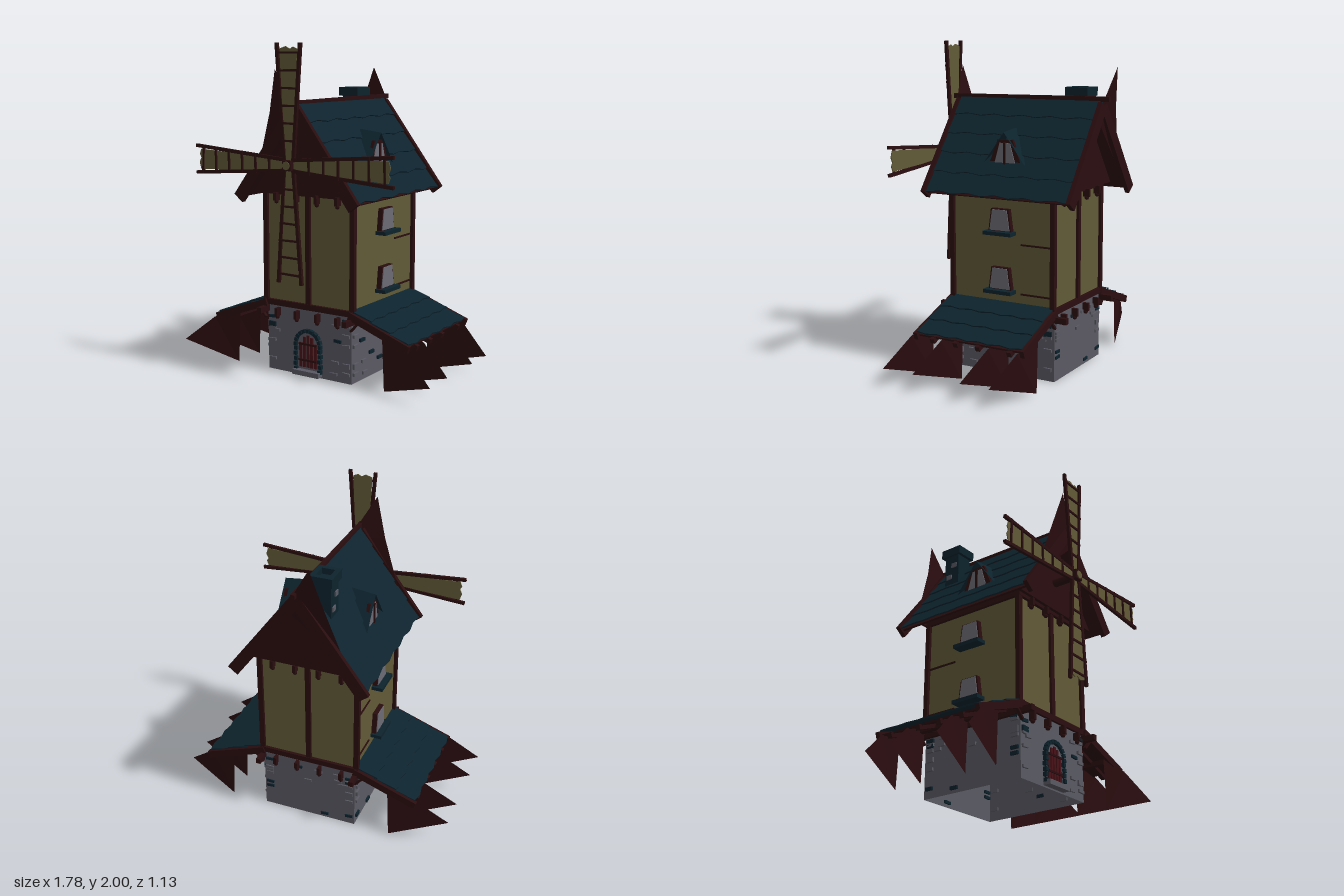
import * as THREE from 'three';

const mat = (name, color, side = THREE.FrontSide) => {
  const m = new THREE.MeshStandardMaterial({ color, side });
  m.name = name;
  return m;
};

export function createModel() {
  const D = THREE.DoubleSide;
  const wood = mat('dark wood', 0x2a0d0f, D), tile = mat('blue slate', 0x0d232d, D);
  const plaster = mat('plaster', 0x625a37, D), stone = mat('grey stone', 0x5a5963, D);
  const glass = mat('window glass', 0x6c6b74, D), red = mat('red door wood', 0x481217);
  const root = new THREE.Group();

  const add = (name, geo, m, parent = root) => {
    const mesh = new THREE.Mesh(geo, m);
    mesh.name = name;
    parent.add(mesh);
    return mesh;
  };
  const box = (name, m, w, h, d, x, y, z, rz = 0, parent = root) => {
    const b = add(name, new THREE.BoxGeometry(w, h, d), m, parent);
    b.position.set(x, y, z);
    b.rotation.z = rz;
    return b;
  };
  // board between two points of an xy plane
  const beam = (name, m, x1, y1, x2, y2, width, depth, z, parent = root) =>
    box(name, m, Math.hypot(x2 - x1, y2 - y1), width, depth, (x1 + x2) / 2, (y1 + y2) / 2, z,
      Math.atan2(y2 - y1, x2 - x1), parent);
  const poly = (pts) => new THREE.Shape(pts.map(([x, y]) => new THREE.Vector2(x, y)));
  const plate = (pts, depth) => new THREE.ExtrudeGeometry(poly(pts), { depth, bevelEnabled: false });
  const facets = (name, m, ...tris) => {
    const g = new THREE.BufferGeometry();
    g.setAttribute('position', new THREE.Float32BufferAttribute(tris.flat(2), 3));
    g.computeVertexNormals();
    return add(name, g, m);
  };
  let seed = 7;
  const rnd = () => (seed = (seed * 16807) % 2147483647) / 2147483647;

  // overlapping slate rows with wavy lower edges, on a slope from (x1,y1) to (x2,y2)
  const slates = (name, s, x1, y1, x2, y2, z0, z1, rows) => {
    const len = Math.hypot(x2 - x1, y2 - y1), w = z1 - z0, step = len / rows;
    const dx = s * (x2 - x1) / len, dy = (y2 - y1) / len;
    const slope = new THREE.Group();
    slope.name = name;
    const basis = new THREE.Matrix4().makeBasis(new THREE.Vector3(0, 0, s),
      new THREE.Vector3(dx, dy, 0), new THREE.Vector3(-s * dy, s * dx, 0));
    slope.quaternion.setFromRotationMatrix(basis);
    slope.position.set(s * x1, y1, (z0 + z1) / 2);
    for (let r = 0; r < rows; r++) {
      const pts = [[w / 2, -0.01], [-w / 2, -0.01]], n = 20;
      for (let i = 0; i <= n; i++) {
        const wave = 0.007 * Math.cos((i + r) * Math.PI / 2);
        pts.push([-w / 2 + w * i / n, step + wave]);
      }
      const row = add('slateRow', plate(pts.reverse(), 0.008), tile, slope);
      row.position.y = r * step;
      row.rotation.x = 0.07;
    }
    root.add(slope);
  };

  // stone ground floor, open underneath
  const base = new THREE.BoxGeometry(0.61, 0.43, 0.7);
  base.setIndex([...base.index.array].filter((_, i) => i < 18 || i >= 24));
  add('stoneBase', base, stone).position.set(0, 0.215, -0.012);
  // scattered stones on the base
  for (const s of [-1, 1]) for (let i = 0; i < 22; i++) {
    const m = i % 3 === 0 ? tile : stone, y = 0.03 + 0.35 * rnd(), edge = rnd() < 0.6;
    const t = edge ? (rnd() < 0.5 ? -0.27 : 0.27) : 0.5 * (rnd() - 0.5);
    box('sideStone', m, 0.02, 0.02, 0.05, s * 0.308, y, t * 1.15 - 0.01);
    if (s < 0 || Math.abs(t) > 0.15) box('faceStone', m, 0.05, 0.018, 0.02, t, y, -0.01 + s * 0.35, 0.2 * (rnd() - 0.5));
  }

  // arched door with stone surround
  const arch = (hw, spring) => {
    const p = [[-hw, 0.02], [hw, 0.02]];
    for (let i = 0; i <= 10; i++) p.push([hw * Math.cos(i * Math.PI / 10), spring + hw * Math.sin(i * Math.PI / 10)]);
    return p;
  };
  add('doorRecess', plate(arch(0.08, 0.19), 0.008), stone).position.z = 0.338;
  for (let i = -2; i <= 2; i++) box('doorPlank', red, 0.019, 0.2 - 0.012 * i * i, 0.012, i * 0.027, 0.155 - 0.006 * i * i, 0.347);
  for (const y of [0.1, 0.2]) box('doorHinge', wood, 0.13, 0.012, 0.008, 0, y, 0.355);
  for (let i = 0; i <= 10; i++) {
    const a = i * Math.PI / 10;
    box('archStone', tile, 0.022, 0.023, 0.03, 0.088 * Math.cos(a), 0.195 + 0.088 * Math.sin(a), 0.347, a);
  }
  for (const s of [-1, 1]) for (let i = 0; i < 5; i++)
    box('jambStone', tile, 0.022, 0.024, 0.03, s * (0.086 + 0.004 * (i % 2)), 0.04 + i * 0.032, 0.347);
  box('doorStep', stone, 0.19, 0.03, 0.05, 0, 0.025, 0.36);

  // plaster upper storeys and timber frame
  box('plasterWalls', plaster, 0.62, 0.7, 0.69, 0, 0.78, -0.01);
  for (const z of [0.337, -0.357]) {
    for (const x of [-0.313, 0, 0.313]) box('post', wood, 0.032, 0.7, 0.03, x, 0.78, z);
    for (const y of [0.43, 1.12]) box('crossBeam', wood, 0.65, 0.035, 0.035, 0, y, z);
  }
  for (const s of [-1, 1]) {
    for (const y of [0.43, 1.12]) box('sideBeam', wood, 0.035, 0.035, 0.7, s * 0.31, y, -0.01);
    box('jettyBeam', wood, 0.03, 0.035, 0.88, s * 0.31, 0.385, -0.01);
    for (const y of [0.51, 0.81]) box('sideBatten', wood, 0.012, 0.01, 0.22, s * 0.311, y, -0.25);
    // side windows
    for (const y of [0.53, 0.885]) {
      const trap = (g) => [[-0.068 - g, 0], [0.068 + g, 0], [0.05 + g, 0.125 + g], [-0.05 - g, 0.125 + g]];
      const frame = add('windowFrame', plate(trap(0.01), 0.03), wood);
      const pane = add('windowPane', plate(trap(0), 0.008), glass);
      for (const m of [frame, pane]) m.rotation.y = s * Math.PI / 2;
      frame.position.set(s * 0.31, y, -0.01);
      pane.position.set(s * 0.337, y + 0.005, -0.01);
      box('windowSill', tile, 0.07, 0.022, 0.19, s * 0.345, y - 0.01, -0.01);
    }
  }
  // small corbels under both overhangs
  for (const z of [0.36, -0.38]) for (const y of [1.09, 0.375]) for (const x of [-0.22, -0.075, 0.075, 0.22]) {
    box('corbel', wood, 0.02, 0.05, 0.04, x, y, z);
    add('corbelDrop', new THREE.SphereGeometry(0.015, 6, 4), wood).position.set(x, y - 0.03, z);
  }

  // gables, main roof and ridge
  const gable = [[-0.38, 1.12], [0.38, 1.12], [0, 1.63]];
  for (const [z, edge, dir] of [[0.36, 0.475, 1], [-0.4, -0.512, -1]]) {
    add('gable', plate(gable, 0.02), wood).position.z = z;
    for (const s of [-1, 1]) beam('bargeboard', wood, 0, 1.625, s * 0.41, 1.08, 0.075, 0.028, edge);
    // crooked spike leaning out at the peak
    const tip = [-0.1, 1.85, edge + dir * 0.05];
    facets('gableSpike', wood, [[0.07, 1.56, edge], tip, [-0.17, 1.6, edge + dir * 0.01]],
      [[0.07, 1.56, edge], [-0.17, 1.6, edge + dir * 0.01], [-0.3, 1.22, edge - dir * 0.03]]);
  }
  for (const s of [-1, 1]) {
    beam('roofBoards', wood, 0, 1.63, s * 0.4, 1.09, 0.012, 0.97, -0.018);
    slates('mainRoof', s, 0, 1.655, 0.405, 1.095, -0.505, 0.465, 5);
  }
  box('ridgeBeam', wood, 0.025, 0.03, 1.08, 0, 1.66, -0.02).rotation.x = 0.008;

  // dormers
  for (const s of [-1, 1]) {
    const top = [s * 0.29, 1.47, -0.01], back = [s * 0.12, 1.49, -0.01];
    for (const k of [-1, 1]) {
      facets('dormerRoof', tile, [top, back, [s * 0.29, 1.28, -0.01 + k * 0.14]],
        [back, [s * 0.25, 1.3, -0.01 + k * 0.15], [s * 0.29, 1.28, -0.01 + k * 0.14]]);
    }
    const face = add('dormerFrame', plate([[-0.11, 0], [0.11, 0], [0.05, 0.15], [-0.05, 0.15]], 0.02), wood);
    const pane = add('dormerPane', plate([[-0.07, 0], [0.07, 0], [0.035, 0.12], [-0.035, 0.12]], 0.008), glass);
    for (const m of [face, pane]) m.rotation.y = s * Math.PI / 2;
    face.position.set(s * 0.255, 1.275, -0.01);
    pane.position.set(s * 0.272, 1.285, -0.01);
    box('dormerBar', wood, 0.012, 0.13, 0.014, s * 0.282, 1.345, -0.01);
  }

  // chimney
  box('chimneyStack', tile, 0.11, 0.24, 0.11, -0.1, 1.57, -0.325);
  for (const k of [-1, 1]) {
    box('chimneyCap', tile, 0.14, 0.055, 0.03, -0.1, 1.7, -0.325 + k * 0.06);
    box('chimneyCap', tile, 0.03, 0.055, 0.15, -0.1 + k * 0.055, 1.7, -0.325);
    box('chimneyStone', stone, 0.02, 0.03, 0.04, -0.153, 1.56 + k * 0.04, -0.325 + k * 0.02);
  }

  // side lean-to roofs with splayed supports
  for (const s of [-1, 1]) {
    slates('leanToRoof', s, 0.31, 0.445, 0.695, 0.295, -0.36, 0.35, 3);
    beam('leanToBoards', wood, s * 0.31, 0.43, s * 0.68, 0.285, 0.012, 0.7, -0.005);
    for (const z of [0.355, -0.367]) {
      beam('leanToBargeboard', wood, s * 0.3, 0.425, s * 0.7, 0.28, 0.045, 0.028, z);
      beam('leanToBrace', wood, s * 0.31, 0.33, s * 0.36, 0.385, 0.012, 0.02, z);
    }
    for (const z of [0.24, 0.08, -0.07, -0.28]) beam('rafter', wood, s * 0.31, 0.415, s * 0.695, 0.265, 0.03, 0.03, z);
    box('eaveBeam', wood, 0.03, 0.03, 0.7, s * 0.55, 0.31, -0.01);
    for (const z of [0.35, 0.14, -0.18, -0.37]) {
      const low = [s * 0.535, 0.005, z], high = [s * 0.52, 0.33, z], tip = [s * 0.89, 0.12, z + 0.105];
      facets('splayedSupport', wood, [low, tip, [s * 0.7, 0.28, z + 0.035]], [low, [s * 0.7, 0.28, z + 0.035], high]);
    }
  }

  // windmill sails
  const sails = new THREE.Group();
  sails.name = 'sails';
  sails.position.set(0, 1.305, 0.528);
  root.add(sails);
  for (let i = 0; i < 4; i++) {
    const sail = new THREE.Group();
    sail.name = 'sail';
    sail.rotation.z = i * Math.PI / 2;
    sails.add(sail);
    const ragged = [[0.03, -0.03], [0.66, -0.062], [0.672, -0.03], [0.66, -0.01], [0.675, 0.02], [0.662, 0.062], [0.03, 0.03]];
    add('sailCloth', plate(ragged, 0.006), plaster, sail).position.z = -0.004;
    for (const s of [-1, 1]) beam('sailRail', wood, 0.02, s * 0.03, 0.695, s * 0.082, 0.02, 0.018, 0, sail);
    for (let r = 0; r < 6; r++) {
      const x = 0.14 + r * 0.1;
      box('sailRung', wood, 0.012, 0.1 + r * 0.015, 0.014, x, 0, 0.004, 0.06 * (rnd() - 0.5), sail);
    }
  }
  const axle = add('axle', new THREE.CylinderGeometry(0.025, 0.025, 0.19, 10), wood);
  axle.rotation.x = Math.PI / 2;
  axle.position.set(0, 1.305, 0.455);
  box('hub', wood, 0.06, 0.06, 0.05, 0, 1.305, 0.534);
  const cap = add('hubCap', new THREE.CylinderGeometry(0.025, 0.025, 0.006, 10), plaster);
  cap.rotation.x = Math.PI / 2;
  cap.position.set(0, 1.305, 0.561);
  return root;
}
